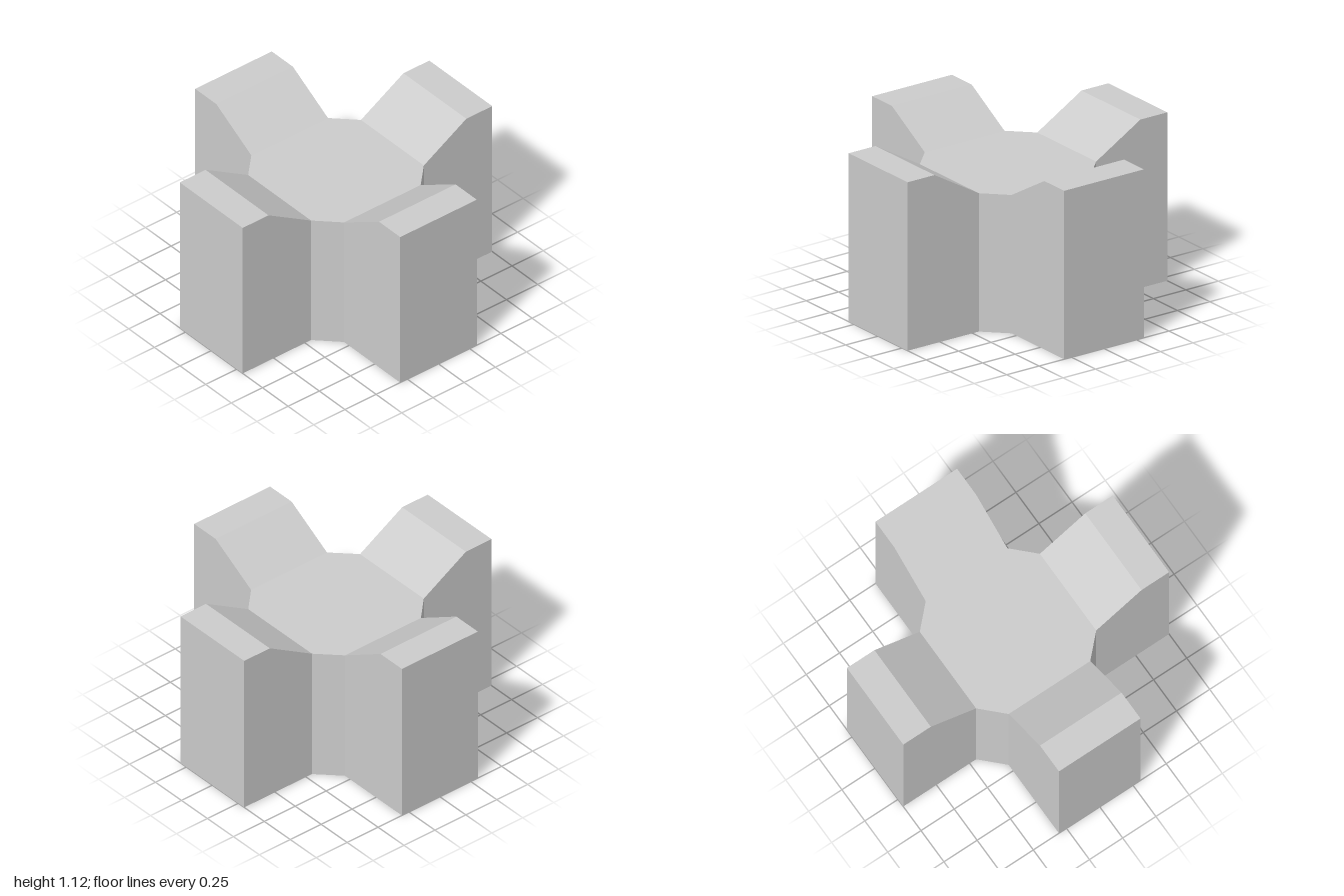
import * as THREE from 'three';

const W = 0.307;      // half width of an arm
const INNER = 0.452;  // where an arm meets the central floor
const FLOOR = 0.92;   // height of the floor
const TOP = 1.12;     // height of the arm ends

export function createModel() {
  const model = new THREE.Group();
  model.name = 'crossShell';
  const material = new THREE.MeshStandardMaterial({
    color: 0xcccccc, flatShading: true, side: THREE.DoubleSide,
  });
  const add = (parent, name, geometry) => {
    const mesh = new THREE.Mesh(geometry, material);
    mesh.name = name;
    parent.add(mesh);
    return mesh;
  };
  const flat = (points) =>
    new THREE.ShapeGeometry(new THREE.Shape(points.map(([x, y]) => new THREE.Vector2(x, y))));

  // Arm section, outward distance and height: floor edge, slope, flat top, end wall
  const section = [[INNER, FLOOR], [0.793, TOP], [1, TOP], [1, 0]];

  // Central octagonal floor
  const floor = flat([
    [W, INNER], [-W, INNER], [-INNER, W], [-INNER, -W],
    [-W, -INNER], [W, -INNER], [INNER, -W], [INNER, W],
  ]);
  floor.rotateX(-Math.PI / 2).translate(0, FLOOR, 0);
  add(model, 'floor', floor);

  ['front', 'left', 'back', 'right'].forEach((side, i) => {
    const arm = new THREE.Group();
    arm.name = side + 'Arm';
    arm.rotation.y = i * Math.PI / 2;
    model.add(arm);

    // Slope, top and end wall as one folded strip
    const strip = new THREE.PlaneGeometry(2 * W, 1, 1, 3);
    const pos = strip.attributes.position;
    for (let v = 0; v < pos.count; v++) {
      const [z, y] = section[Math.floor(v / 2)];
      pos.setXYZ(v, pos.getX(v), y, z);
    }
    const folded = strip.toNonIndexed();
    folded.computeVertexNormals();
    add(arm, 'slopeTopAndEnd', folded);

    // Side walls
    for (const s of [-1, 1]) {
      const wall = flat([...section, [INNER, 0]].map(([z, y]) => [-s * z, y]));
      wall.rotateY(s * Math.PI / 2).translate(s * W, 0, 0);
      add(arm, s < 0 ? 'sideWallRight' : 'sideWallLeft', wall);
    }

    // Slanted corner wall between this arm and the next
    const corner = add(arm, 'cornerWall',
      new THREE.PlaneGeometry((INNER - W) * Math.SQRT2, FLOOR));
    corner.position.set((W + INNER) / 2, FLOOR / 2, (W + INNER) / 2);
    corner.rotation.y = Math.PI / 4;
  });

  return model;
}
